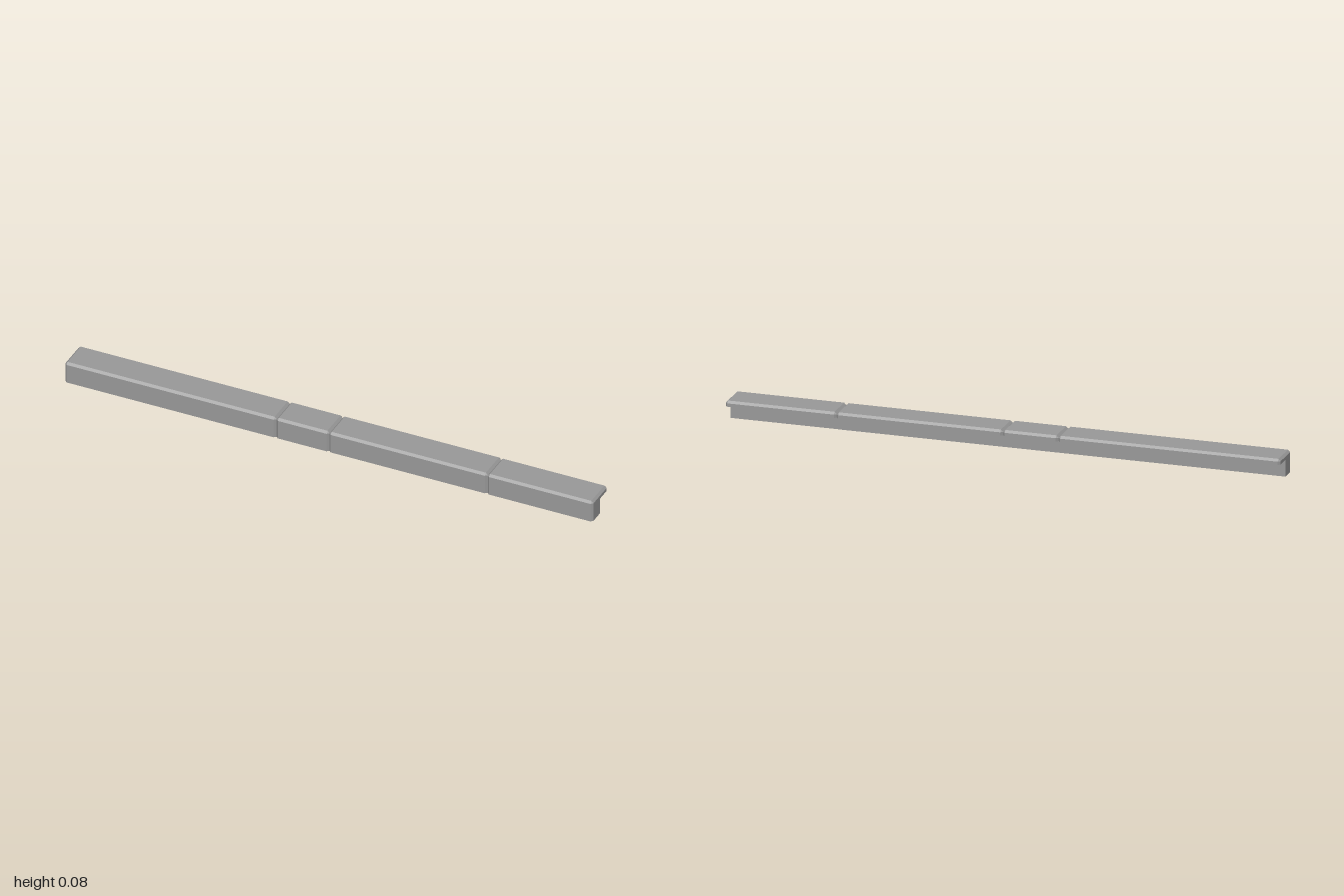
import * as THREE from 'three';

const C = 0.008; // chamfer size

// L-shaped section as [z, y]: full size, and drawn in by the chamfer at stone ends
const FULL = [[0, 0], [0.06, 0], [0.06, 0.08 - C], [0.06 - C, 0.08],
  [-0.06 + C, 0.08], [-0.06, 0.08 - C], [-0.06, 0.06], [0, 0.06]];
const ENDS = FULL.map(([z, y]) => [
  THREE.MathUtils.clamp(z, -0.06 + C, 0.06 - C), Math.min(y, 0.08 - C)]);

// Loft a run of stones between the given joint positions, closed at both ends
function stoneRun(name, joints, z, material) {
  const rings = [];
  const ring = (x, section) => rings.push(section.map(([sz, sy]) => new THREE.Vector3(x, sy, sz)));
  joints.forEach((x, i) => {
    if (i > 0) ring(x - C, FULL);
    ring(x, ENDS);
    if (i < joints.length - 1) ring(x + C, FULL);
  });

  const pos = [];
  const tri = (a, b, c) => {
    if (a.equals(b) || b.equals(c) || a.equals(c)) return;
    for (const p of [a, b, c]) pos.push(p.x, p.y, p.z);
  };
  const n = FULL.length;
  for (let r = 0; r < rings.length - 1; r++) {
    const s = rings[r], t = rings[r + 1];
    for (let i = 0; i < n; i++) {
      const j = (i + 1) % n;
      tri(s[i], t[j], s[j]);
      tri(s[i], t[i], t[j]);
    }
  }
  // end caps, fanned from the inner corner of the L
  const first = rings[0], last = rings[rings.length - 1];
  for (let i = 0; i < n - 2; i++) {
    tri(first[n - 1], first[i], first[i + 1]);
    tri(last[n - 1], last[i + 1], last[i]);
  }

  const geometry = new THREE.BufferGeometry();
  geometry.setAttribute('position', new THREE.Float32BufferAttribute(pos, 3));
  geometry.computeVertexNormals();
  const mesh = new THREE.Mesh(geometry, material);
  mesh.name = name;
  mesh.position.z = z;
  return mesh;
}

export function createModel() {
  const group = new THREE.Group();
  group.name = 'stoneEdging';
  const material = new THREE.MeshStandardMaterial({ color: 0x9a9a9a, flatShading: true });
  // the end stone sits a hair forward of the others, leaving a visible joint
  group.add(stoneRun('joinedStones', [-1, -0.2, 0, 0.6], -0.0005, material));
  group.add(stoneRun('endStone', [0.6, 1], 0.0005, material));
  return group;
}
